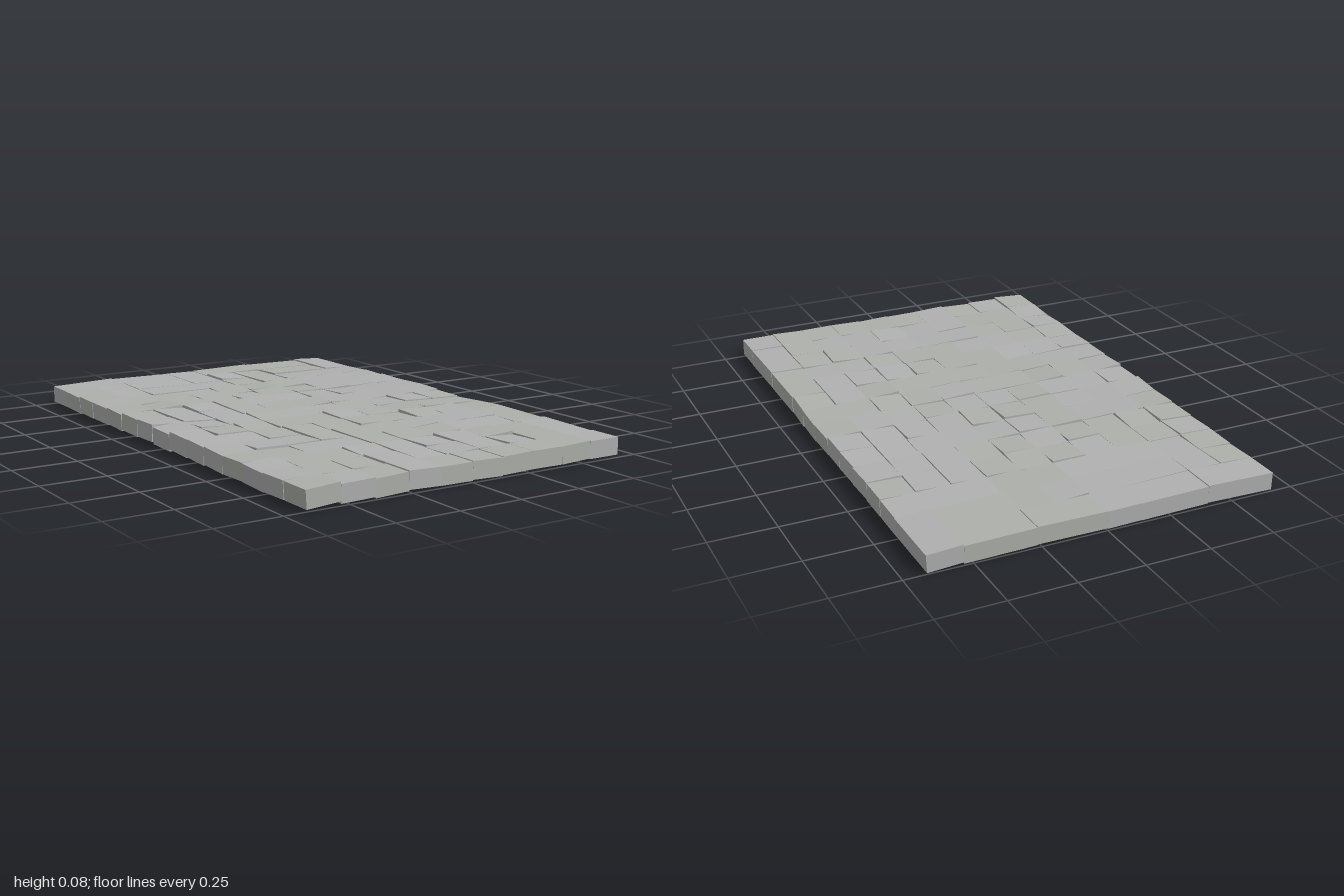
import * as THREE from 'three';

// Paving plan: equal neighbouring letters form one stone, a dot is a single square stone.
// The plan repeats twice across x.
const PLAN = [
  'AABBC',
  '.DEEC',
  '.DFFF',
  '..G..',
  '..G..',
  '.H.I.',
  '.H.I.',
  '.....',
  '...JJ',
  'KK.L.',
  '...LM',
  '..NNM',
  '.O..P',
  '.O.QP',
  '...Q.',
];
const CELL = 2 / 15, THICK = 0.066;

function seeded(seed) {
  return () => {
    seed = (seed * 1664525 + 1013904223) % 4294967296;
    return seed / 4294967296;
  };
}

export function createModel() {
  const model = new THREE.Group();
  model.name = 'stonePavement';
  const greys = [
    new THREE.MeshStandardMaterial({ name: 'neutral grey stone', color: 0xb0b0b0 }),
    new THREE.MeshStandardMaterial({ name: 'mossy grey stone', color: 0xadb0aa }),
  ];
  const underside = new THREE.MeshStandardMaterial({ name: 'dark underside', color: 0x6b6b6b });
  const rand = seeded(41);
  const jitter = (amount) => (rand() * 2 - 1) * amount;

  // Cell bounds of every stone in one half of the plan
  const stones = new Map();
  PLAN.forEach((row, r) => [...row].forEach((letter, c) => {
    const key = letter === '.' ? `${r},${c}` : letter;
    const s = stones.get(key) ?? { c0: c, c1: c, r0: r, r1: r };
    s.c1 = Math.max(s.c1, c);
    s.r1 = Math.max(s.r1, r);
    stones.set(key, s);
  }));

  // Tilted stones, with the front and back rows kept straight
  for (const half of [0, 1]) {
    for (const { c0, c1, r0, r1 } of stones.values()) {
      const w = (c1 - c0 + 1) * CELL, d = (r1 - r0 + 1) * CELL;
      const atEnd = r0 === 0 || r1 === PLAN.length - 1;
      const grey = greys[rand() < 0.5 ? 0 : 1];
      const stone = new THREE.Mesh(
        new THREE.BoxGeometry(w, THICK, d),
        [grey, grey, grey, underside, grey, grey],
      );
      stone.name = 'pavingStone';
      stone.position.set(
        (half * 5 + c0 - 5) * CELL + w / 2,
        0.047 + jitter(0.002),
        r0 * CELL - 1 + d / 2,
      );
      stone.rotation.set(
        atEnd ? 0 : jitter(0.007 / d),
        atEnd ? 0 : jitter(0.004 / Math.max(w, d)),
        jitter(0.009 / w),
      );
      model.add(stone);
    }
  }

  // Rest the lowest corner on the ground
  const box = new THREE.Box3().setFromObject(model, true);
  model.children.forEach((stone) => { stone.position.y -= box.min.y; });
  return model;
}
